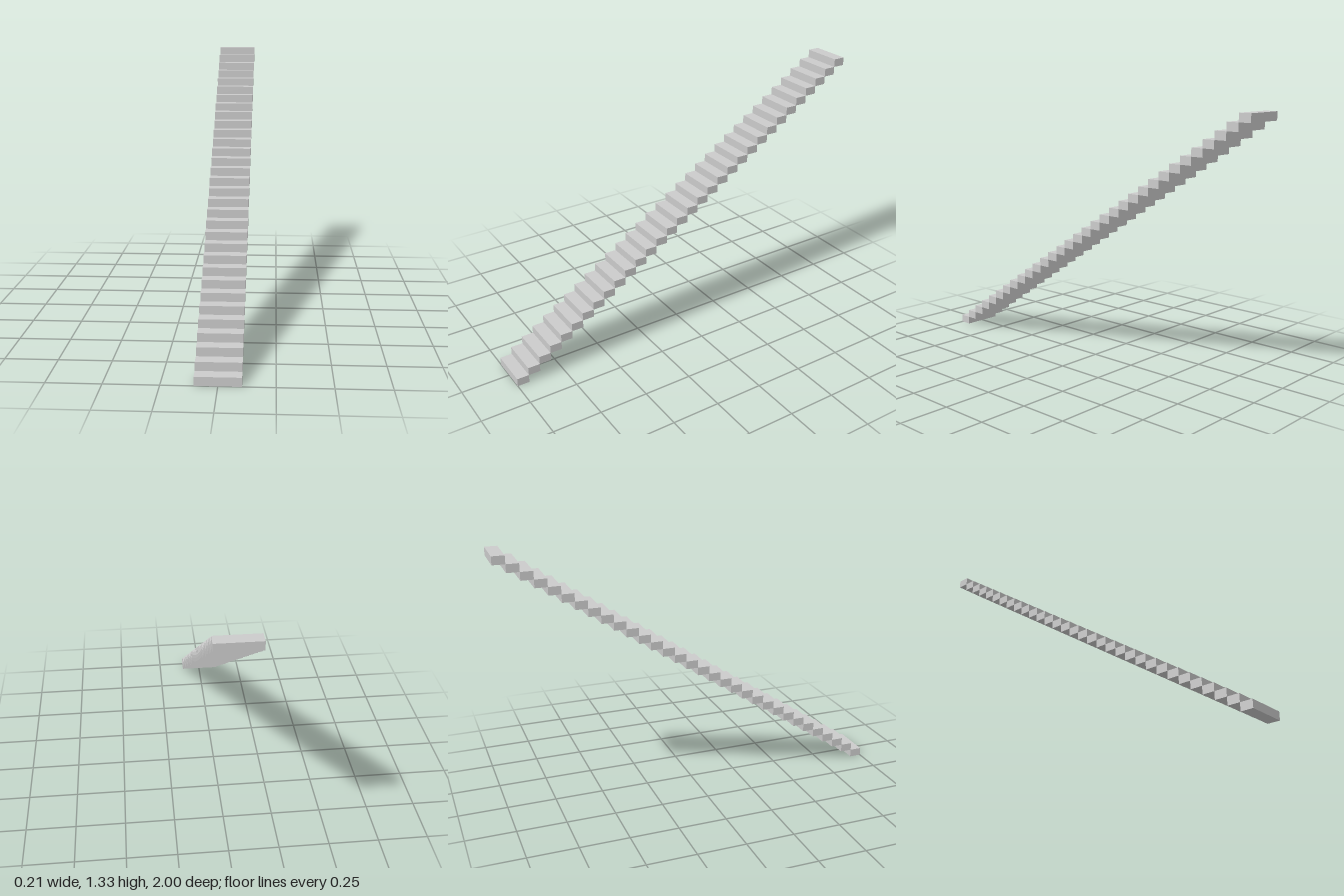
import * as THREE from 'three';

const STEPS = 32;
const DEPTH = 2 / STEPS;
const RISE = DEPTH / 1.5;
const WIDTH = RISE * 5;

export function createModel() {
  const group = new THREE.Group();
  group.name = 'staircase';
  const material = new THREE.MeshStandardMaterial({ color: 0xcccccc, flatShading: true });
  const block = new THREE.BoxGeometry(WIDTH, RISE, DEPTH);

  // Straight flight of solid blocks, climbing from front to back
  for (let i = 0; i < STEPS; i++) {
    const step = new THREE.Mesh(block, material);
    step.name = `step${i + 1}`;
    step.position.set(0, (i + 0.5) * RISE, 1 - (i + 0.5) * DEPTH);
    group.add(step);
  }
  return group;
}
